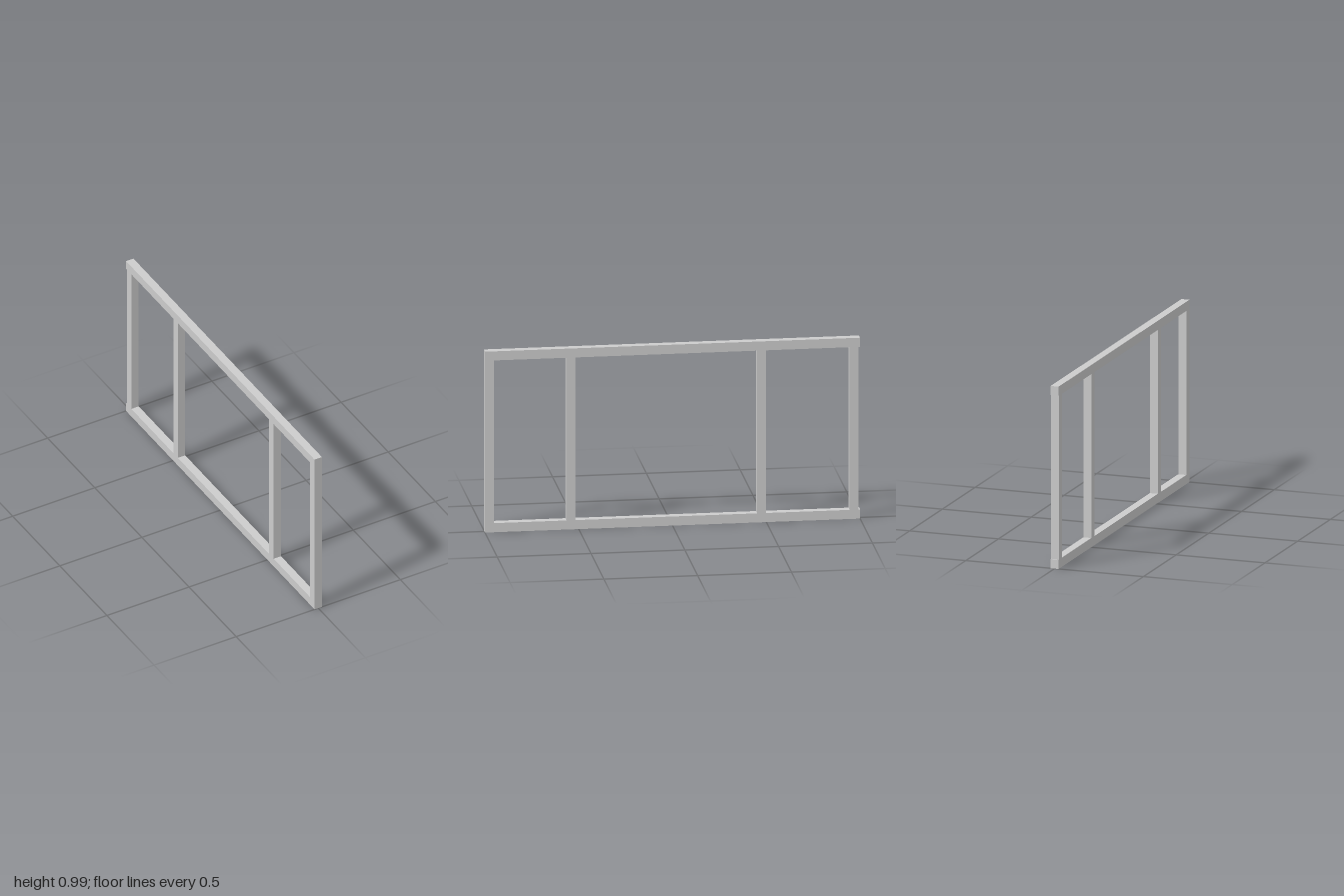
import * as THREE from 'three';

export function createModel() {
  const model = new THREE.Group();
  model.name = 'wallFrame';
  const grey = new THREE.MeshStandardMaterial({ color: 0xcccccc });
  grey.name = 'light grey';

  const depth = 0.045, thick = 0.05, height = 0.993;

  // A square beam filling the given y and z ranges
  function beam(name, y0, y1, z0, z1) {
    const mesh = new THREE.Mesh(new THREE.BoxGeometry(depth, y1 - y0, z1 - z0), grey);
    mesh.name = name;
    mesh.position.set(0, (y0 + y1) / 2, (z0 + z1) / 2);
    model.add(mesh);
  }

  // Full-length rails
  beam('bottomRail', 0, thick, -1, 1);
  beam('topRail', height - thick, height, -1, 1);

  // Uprights between the rails; the rear one is set in slightly
  const uprights = [
    ['frontPost', 0.976],
    ['frontStud', 0.542],
    ['rearStud', -0.475],
    ['rearPost', -0.968],
  ];
  for (const [name, z] of uprights) beam(name, thick, height - thick, z - 0.024, z + 0.024);

  return model;
}
